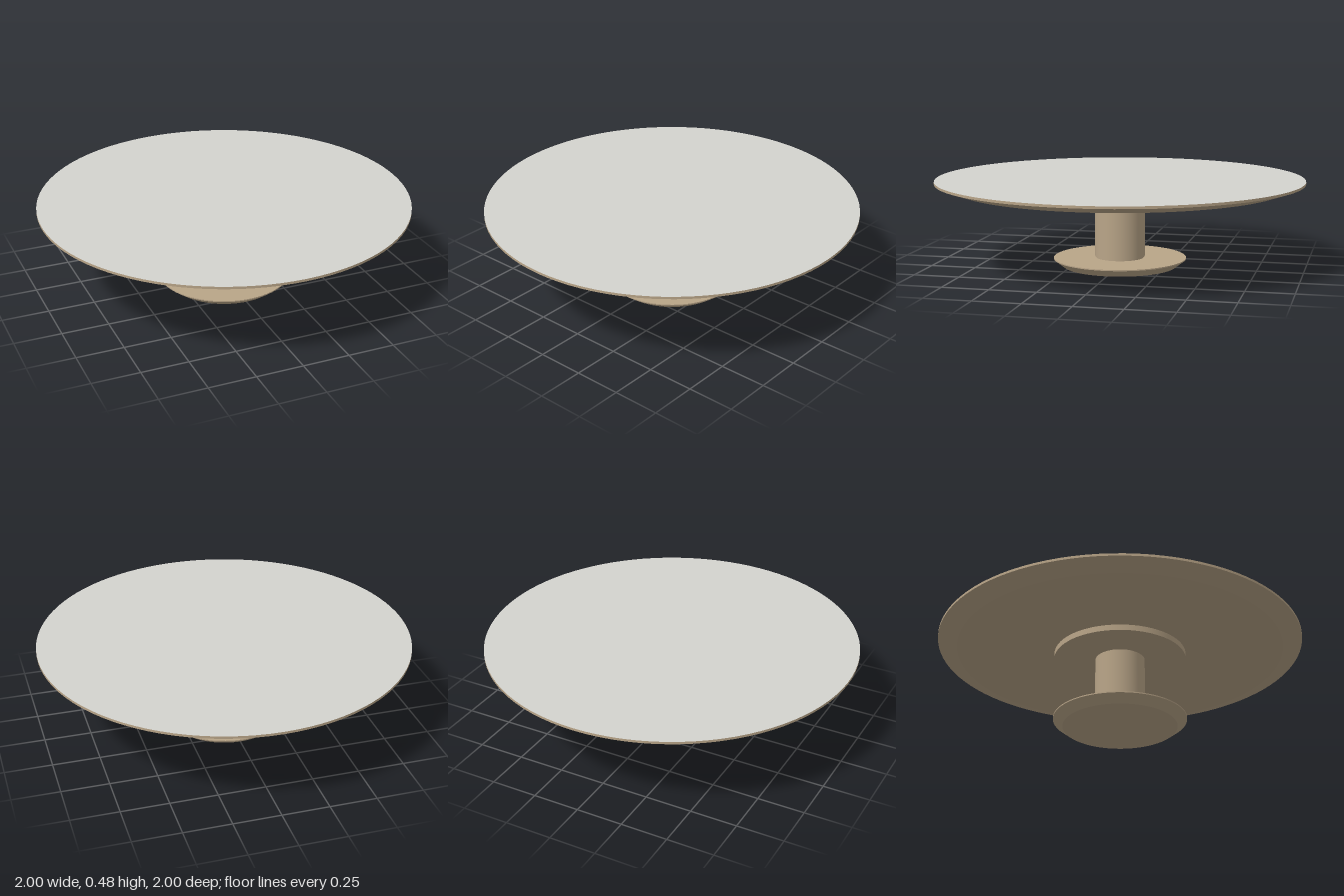
import * as THREE from 'three';

const SEGMENTS = 96;

export function createModel() {
  const model = new THREE.Group();
  model.name = 'roundPedestalTable';

  const wood = new THREE.MeshStandardMaterial({ color: 0xb9a588 });
  wood.name = 'tan wood';
  const stone = new THREE.MeshStandardMaterial({ color: 0xd4d3ce });
  stone.name = 'pale grey top';

  // Upright round section between two heights; capMaterial colours its upper face
  function disc(name, y0, y1, r0, r1, open = false, capMaterial = wood) {
    const geometry = new THREE.CylinderGeometry(r1, r0, y1 - y0, SEGMENTS, 1, open);
    const mesh = new THREE.Mesh(geometry, [wood, capMaterial, wood]);
    mesh.name = name;
    mesh.position.y = (y0 + y1) / 2;
    model.add(mesh);
  }

  // Foot: bevelled underside with a thin straight rim
  disc('footBevel', 0, 0.04, 0.31, 0.362);
  disc('footRim', 0.04, 0.046, 0.362, 0.362);

  // Column on a small shadow-gap collar
  disc('columnCollar', 0.046, 0.053, 0.13, 0.13);
  disc('column', 0.053, 0.4, 0.136, 0.136);

  // Round plate carrying the top
  disc('supportPlate', 0.4, 0.432, 0.362, 0.362);

  // Table top: wide bevel below, thin rim, grey upper surface
  disc('topBevel', 0.432, 0.467, 0.895, 1);
  disc('topRim', 0.467, 0.48, 1, 1, false, stone);

  return model;
}
